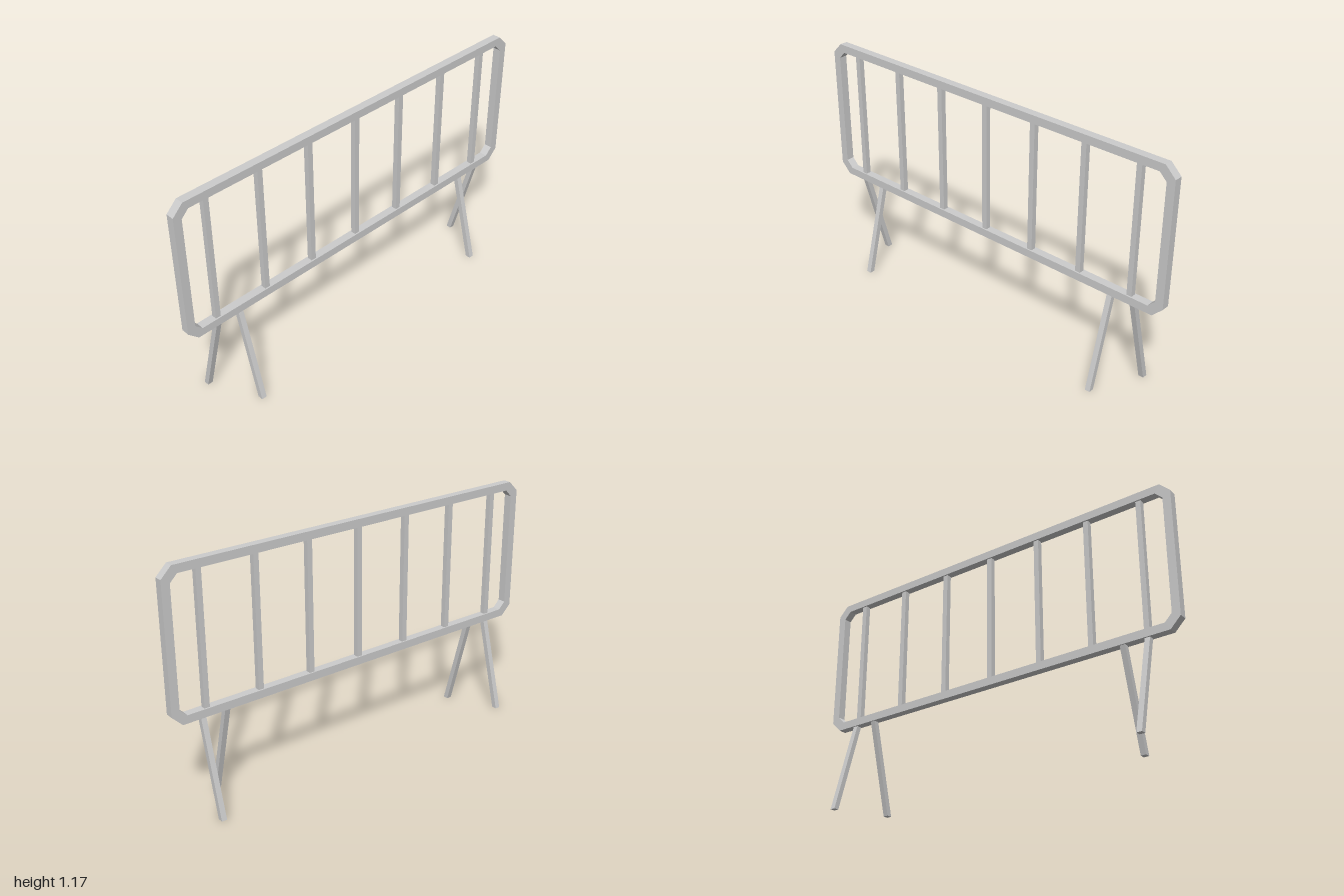
import * as THREE from 'three';

const material = new THREE.MeshStandardMaterial({ color: 0xcccccc, flatShading: true });

// Rectangle with cut corners, as a list of points
function cutRectangle(x, y0, y1, cut) {
  return [
    [-x + cut, y0], [x - cut, y0], [x, y0 + cut], [x, y1 - cut],
    [x - cut, y1], [-x + cut, y1], [-x, y1 - cut], [-x, y0 + cut],
  ].map(([px, py]) => new THREE.Vector2(px, py));
}

function addMesh(parent, name, geometry) {
  const mesh = new THREE.Mesh(geometry, material);
  mesh.name = name;
  parent.add(mesh);
  return mesh;
}

export function createModel() {
  const model = new THREE.Group();
  model.name = 'crowdBarrier';

  // Outer frame with chamfered corners
  const depth = 0.04;
  const outline = new THREE.Shape(cutRectangle(1, 0.46, 1.175, 0.051));
  outline.holes.push(new THREE.Path(cutRectangle(0.96, 0.499, 1.136, 0.035).reverse()));
  const frame = new THREE.ExtrudeGeometry(outline, { depth, bevelEnabled: false });
  frame.translate(0, 0, -depth / 2);
  addMesh(model, 'frame', frame);

  // Seven upright bars
  const bars = new THREE.Group();
  bars.name = 'bars';
  model.add(bars);
  const barGeometry = new THREE.BoxGeometry(0.026, 0.65, 0.026);
  for (let i = -3; i <= 3; i++) {
    addMesh(bars, 'bar', barGeometry).position.set(-0.005 + i * 0.2767, 0.8175, 0);
  }

  // Splayed legs, cut level at the floor
  const width = 0.026;
  const side = new THREE.Shape([
    new THREE.Vector2(0.109, 0), new THREE.Vector2(0.135, 0),
    new THREE.Vector2(0.0095, 0.47), new THREE.Vector2(-0.0165, 0.47),
  ]);
  const legGeometry = new THREE.ExtrudeGeometry(side, { depth: width, bevelEnabled: false });
  legGeometry.translate(0, 0, -width / 2);
  const legs = new THREE.Group();
  legs.name = 'legs';
  model.add(legs);
  for (const [x, facing] of [[-0.715, 1], [0.725, 1], [-0.835, -1], [0.845, -1]]) {
    const leg = addMesh(legs, facing > 0 ? 'frontLeg' : 'backLeg', legGeometry);
    leg.position.x = x;
    leg.rotation.y = -facing * Math.PI / 2;
  }

  return model;
}
